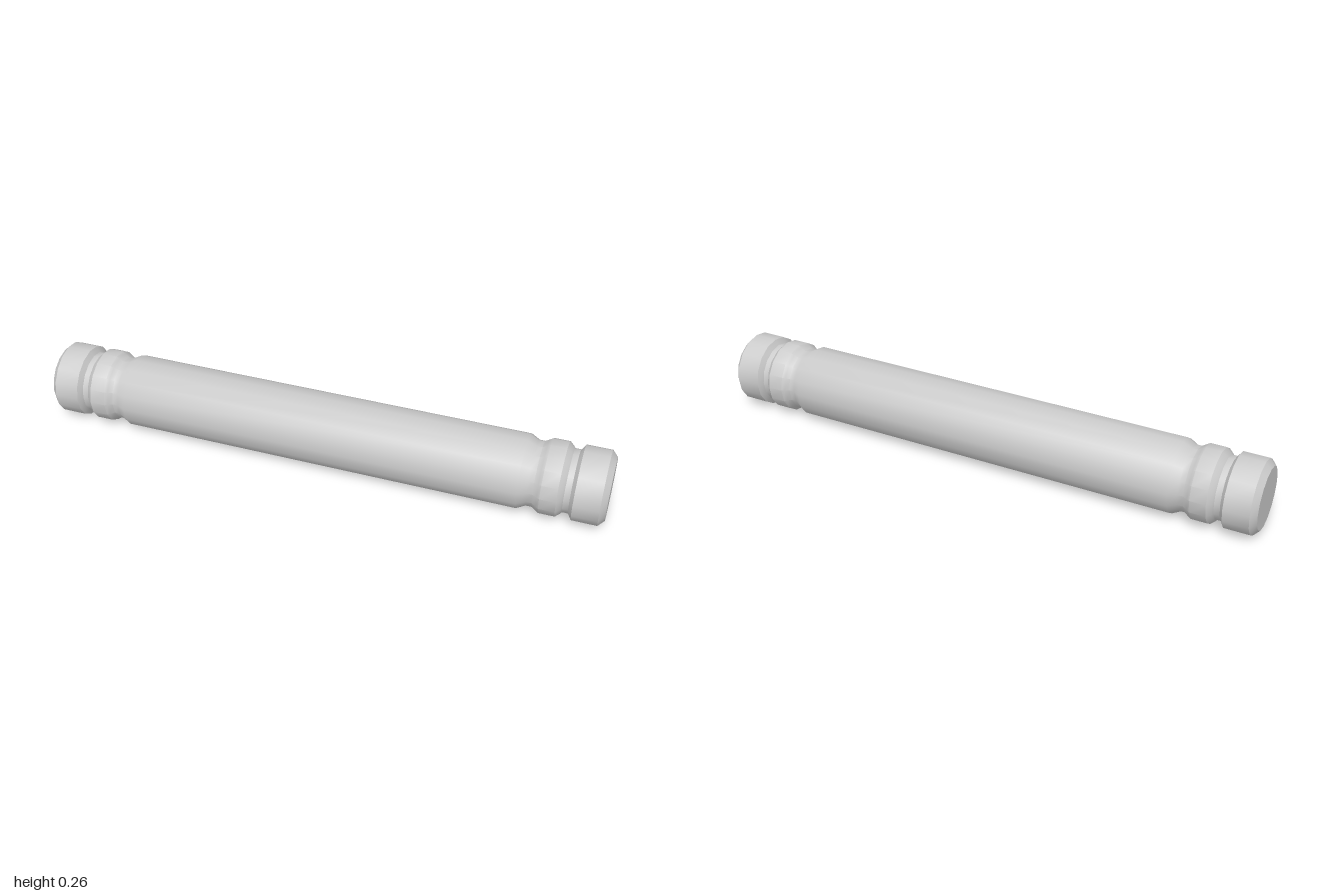
import * as THREE from 'three';
import { toCreasedNormals } from 'three/addons/utils/BufferGeometryUtils.js';

const R = 0.1285; // outer radius
const SIDES = 16;

// Turns a profile of [x, radius] points around the x axis.
function turned(name, profile, material) {
  const points = profile.map(([x, r]) => new THREE.Vector2(r, x));
  const geometry = new THREE.LatheGeometry(points, SIDES);
  geometry.rotateZ(-Math.PI / 2);
  const mesh = new THREE.Mesh(toCreasedNormals(geometry, 0.61), material);
  mesh.name = name;
  return mesh;
}

export function createModel() {
  const group = new THREE.Group();
  group.name = 'grooved rod';
  const material = new THREE.MeshStandardMaterial({ color: 0xcccccc });

  // Half profile of the shaft: long body, soft groove, band, step into the narrow neck
  const half = [
    [0.71, R], [0.74, 0.113], [0.76, 0.113], [0.775, 0.122], [0.785, R],
    [0.84, R], [0.855, 0.115], [0.86, 0.109],
  ];
  const mirrored = half.map(([x, r]) => [-x, r]).reverse();
  group.add(turned('shaft', [...mirrored, ...half], material));

  // End caps: neck, step up, cylinder, bevel and flat end disc
  const cap = [
    [0.86, 0.109], [0.88, 0.109], [0.893, R], [0.98, R], [1, 0.107], [1, 0],
  ];
  const leftCap = turned('leftCap', cap, material);
  const rightCap = turned('rightCap', cap, material);
  rightCap.rotation.y = Math.PI;
  group.add(leftCap, rightCap);

  group.position.y = R;
  return group;
}
